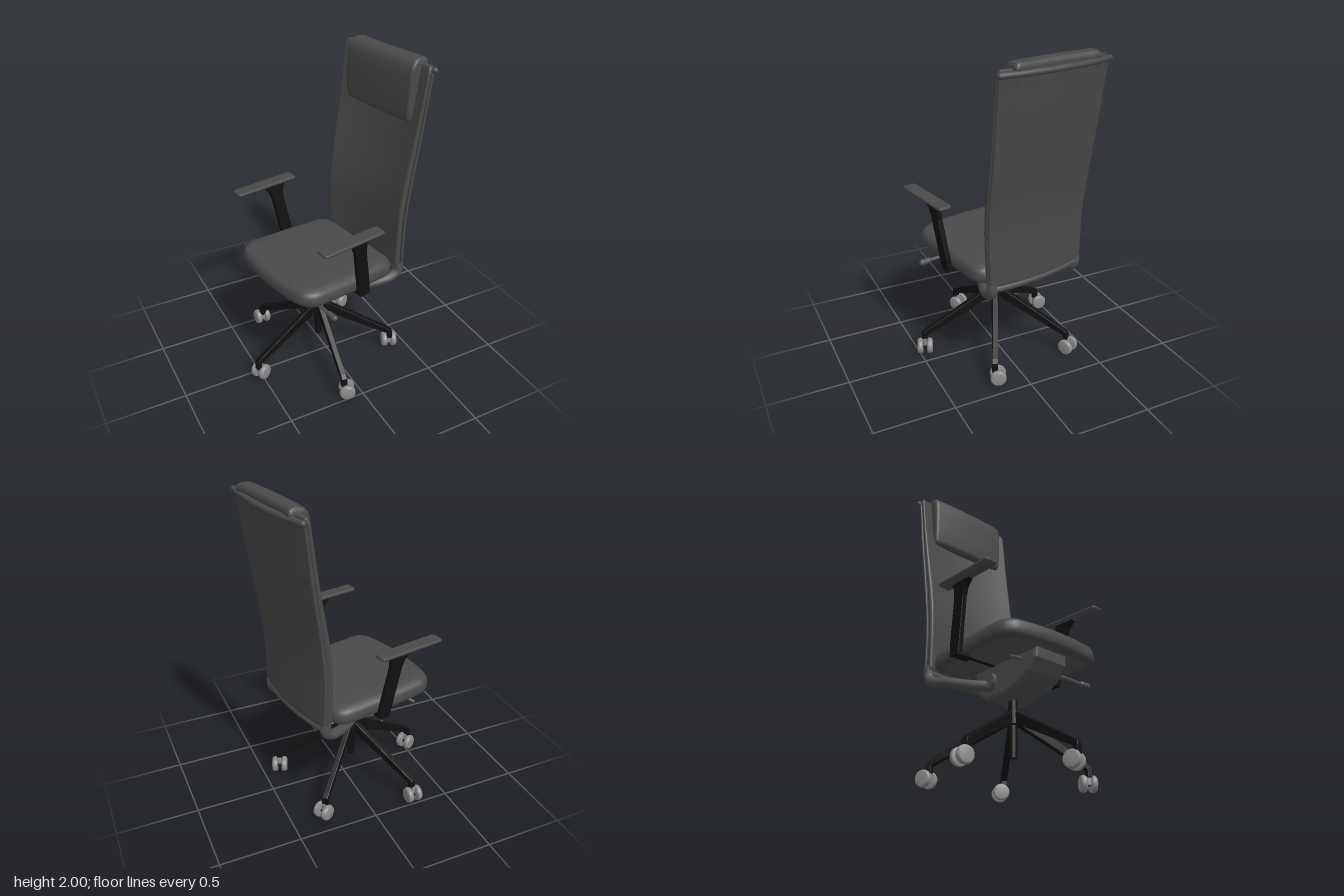
import * as THREE from 'three';

const fabric = new THREE.MeshStandardMaterial({ color: 0x4a4a4a });
const plastic = new THREE.MeshStandardMaterial({ color: 0x505050 });
const black = new THREE.MeshStandardMaterial({ color: 0x111111 });
const wheelGrey = new THREE.MeshStandardMaterial({ color: 0x8c8c8c });
const V = (x, y, z) => new THREE.Vector3(x, y, z);

function add(parent, name, geometry, material) {
  const mesh = new THREE.Mesh(geometry, material);
  mesh.name = name;
  parent.add(mesh);
  return mesh;
}

// Rounded rectangle in x/z with evenly divided sides
function roundRect(hx, hz, r, arc = 5, side = 12) {
  const pts = [];
  [[1, 1], [-1, 1], [-1, -1], [1, -1]].forEach(([sx, sz], c) => {
    for (let i = 0; i <= arc; i++) {
      const a = (c + i / arc) * Math.PI / 2;
      pts.push([sx * (hx - r) + r * Math.cos(a), sz * (hz - r) + r * Math.sin(a)]);
    }
    const a = (c + 1) * Math.PI / 2;
    const [nx, nz] = [[-1, 1], [-1, -1], [1, -1], [1, 1]][c];
    const from = pts[pts.length - 1];
    const to = [nx * (hx - r) + r * Math.cos(a), nz * (hz - r) + r * Math.sin(a)];
    for (let i = 1; i < side; i++) pts.push([0, 1].map(k => from[k] + (to[k] - from[k]) * i / side));
  });
  return pts;
}

// Skin a stack of rings from bottom to top and cap both ends
function loft(rings) {
  const n = rings[0].length, last = rings.length - 1;
  const pts = rings.flat(), index = [];
  for (let i = 0; i < last; i++) for (let j = 0; j < n; j++) {
    const a = i * n + j, b = i * n + (j + 1) % n;
    index.push(a, a + n, b, b, a + n, b + n);
  }
  for (const end of [0, last]) {
    const base = pts.length;
    pts.push(...rings[end]);
    const flat = rings[end].map(p => new THREE.Vector2(p.x, p.z));
    for (const [a, b, c] of THREE.ShapeUtils.triangulateShape(flat, []))
      index.push(base + a, base + (end ? c : b), base + (end ? b : c));
  }
  const g = new THREE.BufferGeometry().setFromPoints(pts);
  g.setIndex(index);
  g.computeVertexNormals();
  return g;
}

// Upright panel: rows of [y, front, back, half width], bowed across its width
const panel = (rows, bow) => loft(rows.map(([y, f, b, hw]) =>
  roundRect((b - f) / 2, hw, Math.min(0.02, (b - f) * 0.45)).map(([x, z]) =>
    V((f + b) / 2 + x + bow * (1 - (z / hw) ** 2), y, z))));

// Side profile in x/y extruded across z, centred
function slab(points, width, bevel = 0.006) {
  const g = new THREE.ExtrudeGeometry(new THREE.Shape(points.map(p => new THREE.Vector2(...p))),
    { depth: width - 2 * bevel, bevelSize: bevel, bevelThickness: bevel, bevelSegments: 2 });
  return g.translate(0, 0, bevel - width / 2);
}

const tube = (pts, r) => new THREE.TubeGeometry(
  new THREE.CatmullRomCurve3(pts.map(p => V(...p))), 28, r, 12);

function cylinder(r, y0, y1) {
  return new THREE.CylinderGeometry(r, r, y1 - y0, 24).translate(0, (y0 + y1) / 2, 0);
}

function makeSeat(chair) {
  const ring = (inset, y) => roundRect(0.345 - inset, 0.375 - inset, 0.09 - inset * 0.5).map(([x, z]) => {
    const forward = Math.max(-x / 0.345, 0), rear = Math.max(x / 0.345, 0);
    return V(x - 0.05 * forward * (1 - (z / 0.375) ** 2), y - 0.03 * (x + 0.34) / 0.69, z * (1 - 0.05 * rear));
  });
  add(chair, 'seatCushion', loft([[0.035, 0.7], [0.012, 0.703], [0.002, 0.715], [0, 0.74], [0.003, 0.765],
    [0.012, 0.785], [0.028, 0.798], [0.055, 0.806], [0.1, 0.811], [0.16, 0.813]].map(r => ring(...r))), fabric);
  add(chair, 'seatPan', loft([ring(0.08, 0.683), ring(0.045, 0.705)]), plastic);
}

function makeBack(chair) {
  const rows = [[0.72, 0.36, 0.425, 0.335], [0.9, 0.358, 0.42, 0.34], [1.02, 0.358, 0.422, 0.344],
    [1.13, 0.365, 0.432, 0.347], [1.27, 0.386, 0.45, 0.35], [1.4, 0.41, 0.47, 0.353], [1.63, 0.452, 0.505, 0.358],
    [1.85, 0.486, 0.53, 0.363], [1.93, 0.497, 0.543, 0.365]];
  const pad = rows.map(([y, f, b, w]) => [y, f, b - 0.022, w]);
  add(chair, 'backCushion', panel([[0.69, 0.372, 0.395, 0.32], [0.7, 0.363, 0.4, 0.33], ...pad,
    [1.955, 0.502, 0.535, 0.363], [1.97, 0.512, 0.532, 0.355]], 0.035), fabric);
  add(chair, 'backShell', panel([[0.69, 0.4, 0.42, 0.325],
    ...rows.map(([y, f, b, w]) => [y, b - 0.019, b, w + 0.003])], 0.035), fabric);
  // Rolled lip along the top of the shell
  const lip = [];
  for (let i = -6; i <= 6; i++) lip.push([0.547 + 0.035 * (1 - (i / 6) ** 2), 1.945, i * 0.0605]);
  add(chair, 'backTopLip', tube(lip, 0.018), fabric);
  for (const s of [-1, 1])
    add(chair, 'lipEnd', new THREE.SphereGeometry(0.018, 14, 10).translate(0.547, 1.945, s * 0.363), fabric);
  add(chair, 'headrest', panel([[1.63, 0.468, 0.49, 0.262], [1.637, 0.452, 0.505, 0.275], [1.66, 0.445, 0.52, 0.282],
    [1.75, 0.442, 0.53, 0.285], [1.88, 0.445, 0.55, 0.287], [1.94, 0.452, 0.57, 0.287], [1.97, 0.462, 0.578, 0.286],
    [1.99, 0.478, 0.574, 0.282], [2.0, 0.5, 0.56, 0.272]], -0.01), fabric);
}

function makeMechanism(chair) {
  add(chair, 'mechanismHousing', slab([[-0.3, 0.685], [-0.295, 0.64], [-0.25, 0.58], [-0.18, 0.535], [-0.08, 0.505],
    [0, 0.495], [0.09, 0.495], [0.14, 0.53], [0.17, 0.6], [0.18, 0.675]], 0.25, 0.02), plastic);
  // Carrier arms sweeping from the housing up to the backrest
  for (const s of [-1, 1]) {
    const arm = tube([[0.03, 0.55, 0.1 * s], [0.14, 0.565, 0.19 * s], [0.27, 0.595, 0.275 * s],
      [0.36, 0.615, 0.305 * s], [0.4, 0.65, 0.312 * s], [0.402, 0.72, 0.315 * s]], 0.032);
    add(chair, 'backCarrierArm', arm, plastic);
    add(chair, 'pivotDisc', new THREE.CylinderGeometry(0.05, 0.05, 0.03, 24)
      .rotateX(Math.PI / 2).translate(0.05, 0.58, 0.14 * s), plastic);
  }
  const bar = [-1, -0.6, -0.2, 0.2, 0.6, 1].map(t => [0.4 + 0.03 * (1 - t * t), 0.675, 0.315 * t]);
  add(chair, 'backCrossbar', tube(bar, 0.03), plastic);
  // Adjustment levers
  add(chair, 'heightLever', tube([[-0.2, 0.62, 0.1], [-0.2, 0.622, 0.24], [-0.2, 0.62, 0.38]], 0.011), plastic);
  add(chair, 'leverPaddle', new THREE.CapsuleGeometry(0.019, 0.05, 6, 14)
    .rotateX(Math.PI / 2).translate(-0.2, 0.62, 0.4), plastic);
  add(chair, 'tiltLever', tube([[-0.2, 0.65, -0.1], [-0.23, 0.63, -0.2], [-0.28, 0.595, -0.29]], 0.01), plastic);
}

function makeArms(chair) {
  for (const s of [-1, 1]) {
    const arm = new THREE.Group();
    arm.name = s > 0 ? 'rightArmrest' : 'leftArmrest';
    chair.add(arm);
    const post = slab([[0.012, 0.685], [0.077, 0.685], [0.07, 0.75], [0.022, 1.0], [0.022, 1.05], [0.04, 1.095],
      [-0.11, 1.095], [-0.065, 1.05], [-0.045, 1.0]], 0.034);
    const p = post.attributes.position;
    for (let i = 0; i < p.count; i++) p.setZ(i, p.getZ(i) + s * (0.41 + 0.08 * (p.getY(i) - 0.9)));
    post.computeVertexNormals();
    add(arm, 'armPost', post, black);
    add(arm, 'armBracket', new THREE.BoxGeometry(0.066, 0.028, 0.3).translate(0.045, 0.68, s * 0.26), black);
    const pad = loft([[0.022, 1.088], [0.003, 1.103], [0, 1.108], [0, 1.115], [0.004, 1.12], [0.01, 1.121]]
      .map(([d, y]) => roundRect(0.217 - d, 0.044 - d, 0.02 - d * 0.5).map(([x, z]) => V(x - 0.09, y, z + s * 0.437))));
    add(arm, 'armPad', pad, fabric);
  }
}

function makeCaster() {
  const caster = new THREE.Group();
  caster.name = 'caster';
  const profile = [[0, -0.02], [0.03, -0.02], [0.032, -0.016], [0.04, -0.019], [0.047, -0.013], [0.05, -0.004],
    [0.05, 0.006], [0.046, 0.017], [0, 0.017]].map(p => new THREE.Vector2(...p));
  for (const s of [-1, 1]) {
    const wheel = add(caster, 'wheel', new THREE.LatheGeometry(profile, 28), wheelGrey);
    wheel.rotation.x = -s * Math.PI / 2;
    wheel.position.set(0.02, 0.05, s * 0.03);
  }
  add(caster, 'axle', new THREE.CylinderGeometry(0.014, 0.014, 0.06, 12).rotateX(Math.PI / 2)
    .translate(0.02, 0.05, 0), black);
  add(caster, 'fork', new THREE.BoxGeometry(0.04, 0.06, 0.022).translate(0.008, 0.07, 0), wheelGrey);
  return caster;
}

function makeBase(chair) {
  add(chair, 'gasColumn', cylinder(0.027, 0.36, 0.51), black);
  add(chair, 'columnFoot', cylinder(0.024, 0.145, 0.36), black);
  add(chair, 'baseHub', cylinder(0.046, 0.335, 0.405), black);
  const leg = slab([[0, 0.4], [0.04, 0.4], [0.47, 0.158], [0.492, 0.142], [0.495, 0.125], [0.495, 0.085],
    [0.47, 0.085], [0.47, 0.122], [0.46, 0.13], [0.04, 0.335], [0, 0.335]], 0.036, 0.004);
  [0.35, 1.4, 0.3, 1.0, -0.55].forEach((yaw, k) => {
    const a = Math.PI + k * Math.PI * 0.4;
    add(chair, 'baseLeg', leg, black).rotation.y = -a;
    const caster = makeCaster();
    caster.position.set(Math.cos(a) * 0.482, 0, Math.sin(a) * 0.482);
    caster.rotation.y = yaw;
    chair.add(caster);
  });
}

export function createModel() {
  const model = new THREE.Group();
  model.name = 'officeChair';
  // The chair is swivelled slightly about its column
  const chair = new THREE.Group();
  chair.name = 'chair';
  chair.position.set(-0.05, 0, -0.02);
  chair.rotation.y = 0.178;
  model.add(chair);
  [makeSeat, makeBack, makeMechanism, makeArms, makeBase].forEach(make => make(chair));
  return model;
}
